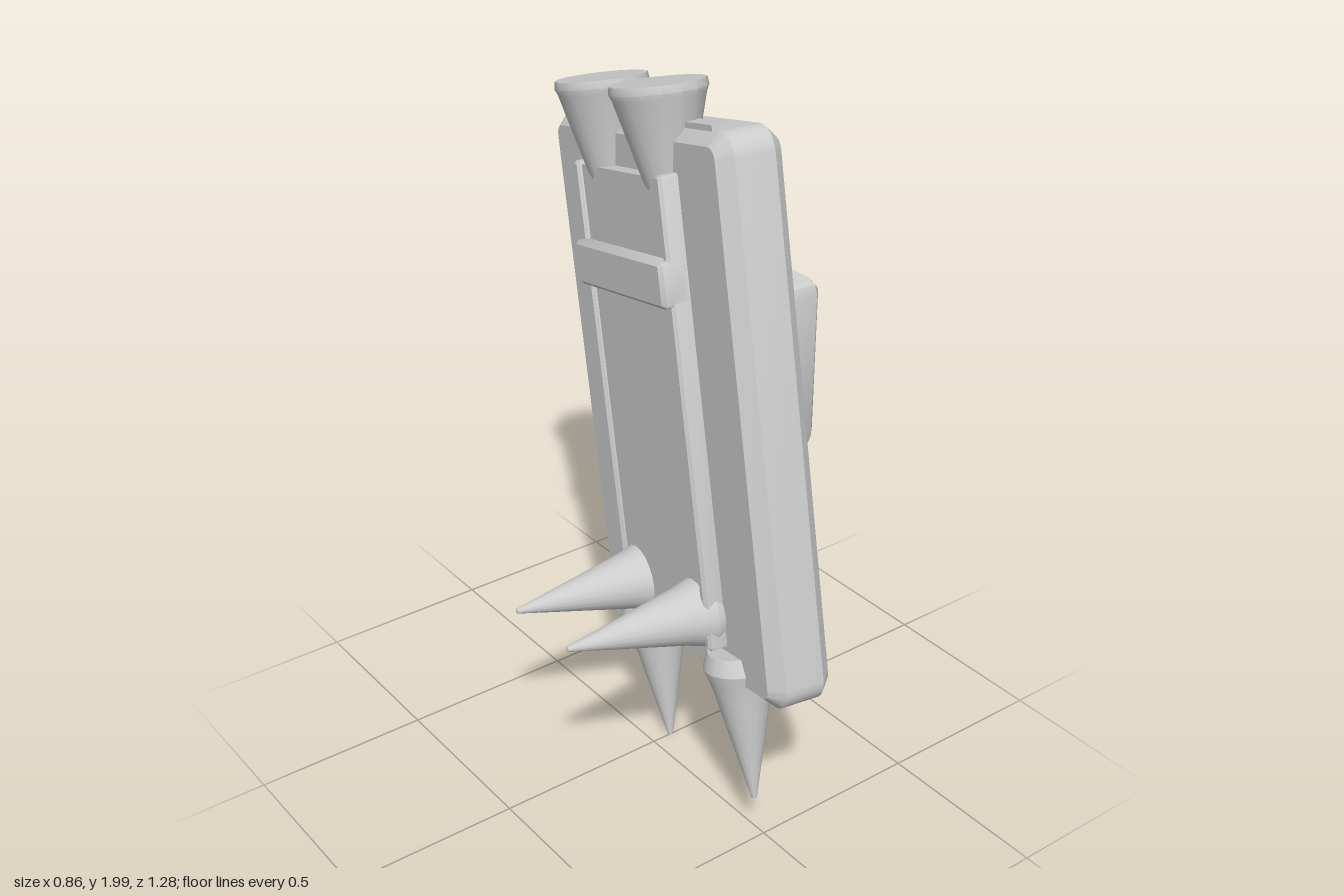
import * as THREE from 'three';
import { toCreasedNormals } from 'three/addons/utils/BufferGeometryUtils.js';

const grey = new THREE.MeshStandardMaterial({ color: 0xcccccc });
grey.name = 'plain grey';

function add(parent, name, geometry, x, y, z) {
  const mesh = new THREE.Mesh(geometry, grey);
  mesh.name = name;
  mesh.position.set(x, y, z);
  parent.add(mesh);
  return mesh;
}

// Box with rounded outline in the y-z plane and single bevels on both x faces
function bevelBox(w, h, d, radius, bevel, segments) {
  const s = new THREE.Shape();
  const a = d / 2 - radius, b = h / 2 - radius;
  s.absarc(a, b, radius, 0, Math.PI / 2);
  s.absarc(-a, b, radius, Math.PI / 2, Math.PI);
  s.absarc(-a, -b, radius, Math.PI, Math.PI * 1.5);
  s.absarc(a, -b, radius, Math.PI * 1.5, Math.PI * 2);
  s.closePath();
  const geo = new THREE.ExtrudeGeometry(s, {
    depth: w - 2 * bevel, curveSegments: segments, bevelEnabled: true,
    bevelSegments: 1, bevelSize: bevel, bevelThickness: bevel, bevelOffset: -bevel,
  });
  geo.center();
  geo.rotateY(Math.PI / 2);
  return toCreasedNormals(geo, 0.6);
}

function lathe(points, sides) {
  const geo = new THREE.LatheGeometry(points.map(([r, y]) => new THREE.Vector2(r, y)), sides);
  return toCreasedNormals(geo, 0.6);
}

export function createModel() {
  const model = new THREE.Group();
  model.name = 'model';

  // Leaning body: everything but the side block shares its tilt
  const body = new THREE.Group();
  body.name = 'leaningBody';
  body.position.set(0.115, 1.105, 0);
  body.rotation.set(-0.24, -0.167, 0, 'YXZ');
  model.add(body);

  add(body, 'slab', bevelBox(0.18, 1.48, 0.98, 0.065, 0.035, 3), 0, 0, 0);
  add(body, 'topRidge', new THREE.BoxGeometry(0.05, 0.03, 0.8), -0.035, 0.735, 0);

  // Panel with side rails and a raised crossbar
  add(body, 'panel', new THREE.BoxGeometry(0.06, 1.22, 0.48), -0.1, 0.01, 0);
  add(body, 'crossbar', bevelBox(0.08, 0.12, 0.51, 0.012, 0.01, 1), -0.127, 0.36, 0);

  // Nozzles open upward, measured down from the rim
  const nozzle = lathe([[0, -0.26], [0.058, -0.26], [0.118, -0.035], [0.125, -0.02], [0.122, 0], [0, 0]], 16);
  // Spikes point down from the origin at their tip
  const spike = lathe([[0, 0], [0.007, 0.003], [0.078, 0.325], [0.088, 0.36], [0.1, 0.395], [0.085, 0.44], [0, 0.44]], 20);

  for (const side of [-1, 1]) {
    const end = side > 0 ? 'front' : 'back';
    add(body, end + 'Rail', bevelBox(0.08, 1.25, 0.03, 0.008, 0.008, 1), -0.102, 0.005, side * 0.24);
    add(body, end + 'Nozzle', nozzle, -0.072, 0.845, side * 0.165);
    add(body, end + 'FootSpike', spike, -0.055, -1.073, side * 0.25);
    add(body, end + 'SideSpike', spike, -0.505, -0.535, side * 0.17).rotation.z = -Math.PI / 2;
  }

  // Upright block against the broad face
  add(model, 'sideBlock', bevelBox(0.205, 0.49, 0.405, 0.035, 0.03, 1), 0.325, 1.175, -0.025);
  return model;
}
